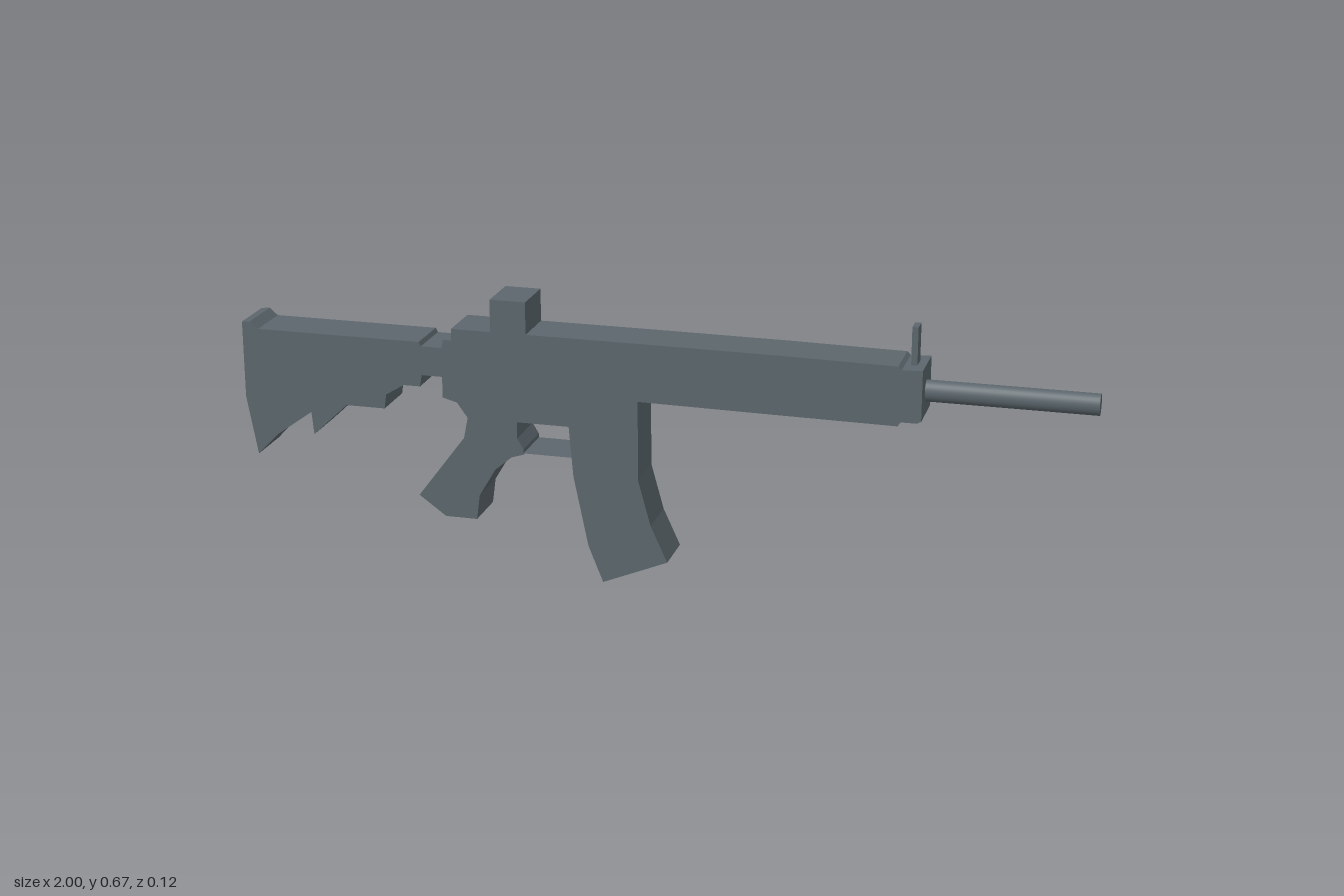
import * as THREE from 'three';

const DEPTH = 0.117;
const AXIS_Y = 0.52;

export function createModel() {
  const group = new THREE.Group();
  const material = new THREE.MeshStandardMaterial({ color: 0x5b666c, flatShading: true });

  // A flat slab cut from a side outline, centred on z = 0
  function slab(name, points, depth = DEPTH) {
    const shape = new THREE.Shape(points.map(([x, y]) => new THREE.Vector2(x, y)));
    const geometry = new THREE.ExtrudeGeometry(shape, { depth, bevelEnabled: false });
    geometry.translate(0, 0, -depth / 2);
    const mesh = new THREE.Mesh(geometry, material);
    mesh.name = name;
    group.add(mesh);
  }

  // Shoulder stock with stepped underside
  slab('stock', [
    [-1, 0.57], [-0.98, 0.572], [-0.96, 0.555], [-0.56, 0.555], [-0.555, 0.545], [-0.505, 0.545],
    [-0.505, 0.475], [-0.555, 0.475], [-0.56, 0.447], [-0.6, 0.447], [-0.645, 0.42], [-0.65, 0.385],
    [-0.745, 0.385], [-0.83, 0.305], [-0.835, 0.36], [-0.925, 0.295], [-0.975, 0.243], [-1, 0.385],
  ]);

  // Receiver
  slab('receiver', [
    [-0.505, 0.545], [-0.5, 0.565], [-0.48, 0.565], [-0.48, 0.593], [-0.035, 0.593],
    [-0.035, 0.38], [-0.445, 0.38], [-0.47, 0.415], [-0.505, 0.425],
  ]);

  // Sight block on top of the receiver
  slab('rearSight', [[-0.385, 0.593], [-0.385, 0.67], [-0.3, 0.67], [-0.3, 0.593]]);

  // Handguard with its end block
  slab('handguard', [
    [-0.035, 0.593], [0.29, 0.592], [0.56, 0.589], [0.568, 0.581], [0.615, 0.583], [0.615, 0.465],
    [0.605, 0.46], [0.57, 0.46], [0.562, 0.45], [0.29, 0.452], [-0.035, 0.455],
  ]);

  // Pistol grip
  slab('grip', [
    [-0.445, 0.38], [-0.325, 0.38], [-0.325, 0.34], [-0.31, 0.315], [-0.31, 0.302], [-0.34, 0.292],
    [-0.38, 0.258], [-0.42, 0.19], [-0.428, 0.13], [-0.505, 0.13], [-0.57, 0.177], [-0.455, 0.33],
  ]);

  // Curved magazine
  slab('magazine', [
    [-0.2, 0.38], [-0.035, 0.38], [-0.035, 0.265], [-0.005, 0.155], [0.035, 0.068], [-0.12, 0.003],
    [-0.155, 0.09], [-0.19, 0.26],
  ]);

  // Front sight post
  slab('frontSight', [[0.582, 0.58], [0.582, 0.67], [0.596, 0.67], [0.596, 0.58]], 0.038);

  // Paper-thin trigger guard strip
  const guardMaterial = material.clone();
  guardMaterial.side = THREE.DoubleSide;
  const guard = new THREE.Mesh(new THREE.PlaneGeometry(0.125, DEPTH), guardMaterial);
  guard.name = 'triggerGuard';
  guard.rotation.x = -Math.PI / 2;
  guard.position.set(-0.25, 0.305, 0);
  group.add(guard);

  // Barrel, slightly oval
  const barrelMaterial = material.clone();
  barrelMaterial.flatShading = false;
  const barrelGeometry = new THREE.CylinderGeometry(1, 1, 0.39, 32);
  barrelGeometry.rotateZ(-Math.PI / 2).scale(1, 0.025, 0.021);
  const barrel = new THREE.Mesh(barrelGeometry, barrelMaterial);
  barrel.name = 'barrel';
  barrel.position.set(0.805, AXIS_Y, 0);
  group.add(barrel);

  return group;
}
